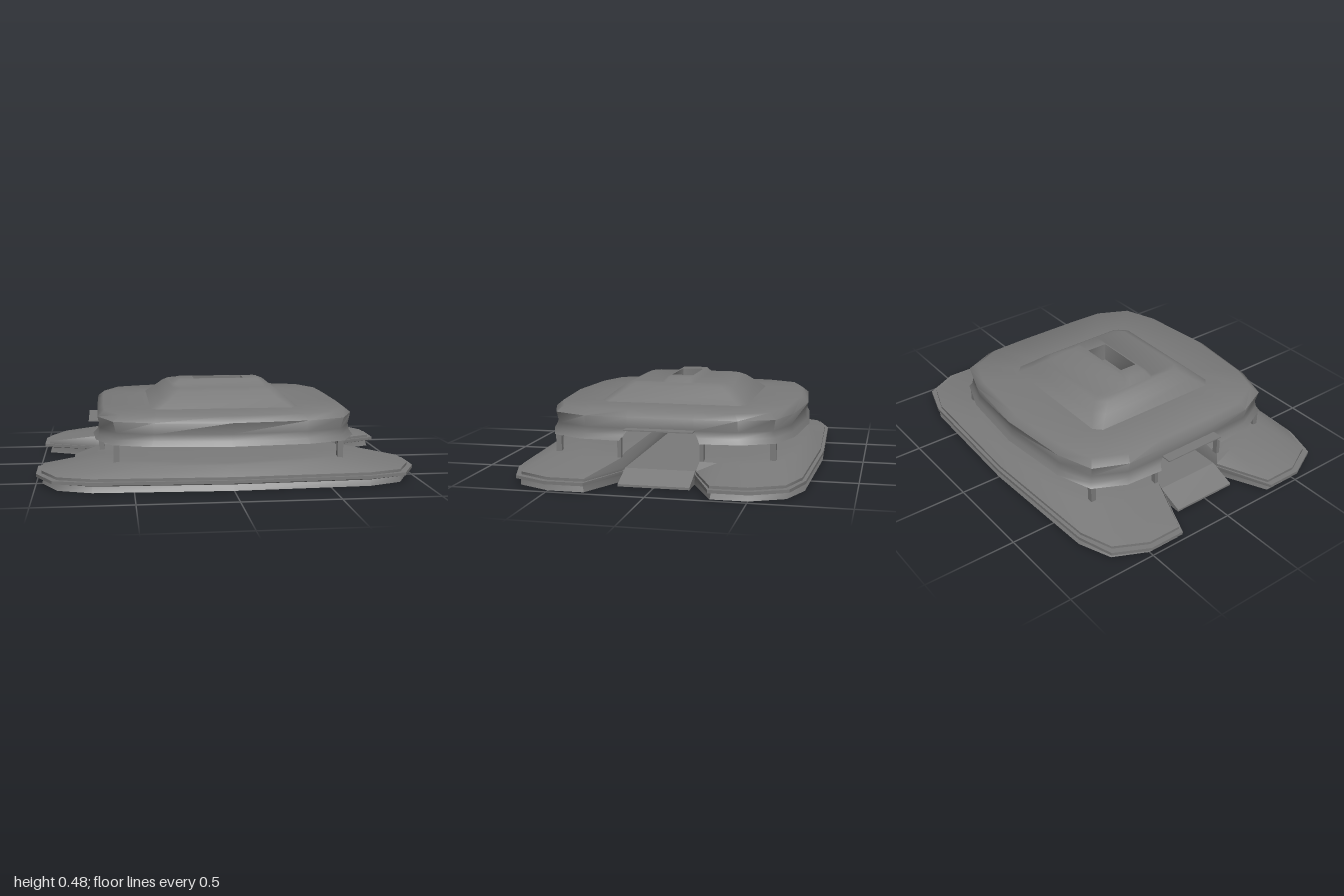
import * as THREE from 'three';
import { toCreasedNormals } from 'three/addons/utils/BufferGeometryUtils.js';

const darkGrey = new THREE.MeshStandardMaterial({ color: 0x7a7a7a, side: THREE.DoubleSide });

// Mirror a quarter outline (from +z round to +x) into a full ring at height y
function fullRing(y, q) {
  const rev = [...q].reverse();
  const second = q[0][0] === 0 ? q.slice(1) : q;
  return [
    ...q.map(([x, z]) => [x, y, z]),
    ...rev.map(([x, z]) => [x, y, -z]),
    ...second.map(([x, z]) => [-x, y, -z]),
    ...[...second].reverse().map(([x, z]) => [-x, y, z]),
  ];
}

// Mirror a half outline across x only
function halfRing(y, h) {
  return [...h.map(([x, z]) => [x, y, z]), ...h.slice(1).reverse().map(([x, z]) => [-x, y, z])];
}

// Rectangle with cut corners
const rectRing = (y, x, z, c) => fullRing(y, [[x - c, z], [x, z - c]]);

// Skin a stack of rings with optional caps; isOpen(level, segment) leaves gaps
function loft(rings, { bottom = false, top = false, isOpen = () => false, crease = 0.8 } = {}) {
  const pos = [];
  const tri = (a, b, c) => pos.push(...a, ...b, ...c);
  const n = rings[0].length;
  for (let r = 0; r < rings.length - 1; r++) {
    const a = rings[r], b = rings[r + 1];
    for (let i = 0; i < n; i++) {
      if (isOpen(r, i)) continue;
      const j = (i + 1) % n;
      tri(a[i], a[j], b[j]);
      tri(a[i], b[j], b[i]);
    }
  }
  const first = rings[0], last = rings[rings.length - 1];
  for (let i = 1; i < n - 1; i++) {
    if (bottom) tri(first[0], first[i + 1], first[i]);
    if (top) tri(last[0], last[i], last[i + 1]);
  }
  const g = new THREE.BufferGeometry();
  g.setAttribute('position', new THREE.Float32BufferAttribute(pos, 3));
  return toCreasedNormals(g, crease);
}

export function createModel() {
  const model = new THREE.Group();
  const add = (name, geo, x = 0, y = 0, z = 0) => {
    const m = new THREE.Mesh(geo, darkGrey);
    m.name = name;
    m.position.set(x, y, z);
    model.add(m);
    return m;
  };

  // Base: front and back pads with a projecting rim and sloping top
  const foot = [[0, 0.775], [0.71, 0.745], [0.885, 0.675], [0.97, 0.5], [0.97, 0.315], [0.7, 0.185]];
  const neck = [[0, 0.76], [0.71, 0.73], [0.875, 0.665], [0.96, 0.5], [0.96, 0.32], [0.7, 0.187]];
  const rim = [[0, 0.78], [0.72, 0.75], [0.91, 0.69], [1, 0.51], [1, 0.31], [0.7, 0.185]];
  const shelf = [[0, 0.763], [0.71, 0.732], [0.885, 0.67], [0.972, 0.5], [0.972, 0.313], [0.7, 0.192]];
  const brow = [[0, 0.705], [0.42, 0.67], [0.61, 0.6], [0.68, 0.42], [0.69, 0.3], [0.68, 0.207]];
  const deck = [[0, 0.68], [0.4, 0.645], [0.57, 0.575], [0.59, 0.42], [0.59, 0.3], [0.59, 0.212]];
  const padGeo = loft([
    halfRing(0, foot), halfRing(0.03, neck), halfRing(0.038, rim), halfRing(0.054, rim),
    halfRing(0.054, shelf), halfRing(0.068, shelf), halfRing(0.115, brow), halfRing(0.125, deck),
  ], { bottom: true, top: true });
  add('frontBasePad', padGeo);
  add('backBasePad', padGeo).rotation.y = Math.PI;

  // Walkway between the pads with a ramp at each side
  const walk = new THREE.Shape([
    [-0.82, 0], [0.82, 0], [0.82, 0.012], [0.68, 0.065], [-0.68, 0.065], [-0.82, 0.012],
  ].map(([x, y]) => new THREE.Vector2(x, y)));
  add('walkway', new THREE.ExtrudeGeometry(walk, { depth: 0.37, bevelEnabled: false }), 0, 0, -0.185);

  // Roof: hollow flared skirt, slight waist, rounded shoulder, flat crown
  const lip = [[0, 0.697], [0.41, 0.66], [0.605, 0.59], [0.69, 0.42], [0.705, 0.21]];
  const waistLow = [[0, 0.683], [0.4, 0.647], [0.59, 0.577], [0.673, 0.4], [0.68, 0.195]];
  const waist = [[0, 0.67], [0.395, 0.637], [0.585, 0.57], [0.667, 0.4], [0.672, 0.175]];
  const shoulder = [[0, 0.69], [0.4, 0.65], [0.6, 0.58], [0.68, 0.4], [0.682, 0.175]];
  const crown = [[0, 0.648], [0.38, 0.615], [0.56, 0.55], [0.643, 0.38], [0.65, 0.175]];
  const inset = (q) => q.map(([x, z], i) => [x * 0.93, i === q.length - 1 ? z : z * 0.93]);
  const centre = crown.map(([x, z]) => [x * 0.6, z * 0.6]);
  add('roof', loft([
    fullRing(0.27, inset(waist)), fullRing(0.21, inset(lip)), fullRing(0.21, lip),
    fullRing(0.235, waistLow), fullRing(0.27, waist), fullRing(0.33, shoulder),
    fullRing(0.36, crown), fullRing(0.36, centre),
  ], {
    bottom: true, top: true, crease: 1.2,
    // The skirt is open at the middle of each side
    isOpen: (level, segment) => level < 4 && (segment === 4 || segment === 13),
  }));

  // Raised roof centre with a ridge and a sunken hatch
  add('roofDome', loft([
    rectRing(0.358, 0.4, 0.4, 0.04), rectRing(0.405, 0.34, 0.345, 0.05),
    rectRing(0.44, 0.3, 0.3, 0.05), rectRing(0.455, 0.27, 0.265, 0.04),
    rectRing(0.456, 0.265, 0.09, 0.02), rectRing(0.482, 0.23, 0.07, 0.015),
    rectRing(0.482, 0.14, 0.06, 0.002), rectRing(0.38, 0.14, 0.06, 0.002),
  ], { top: true, crease: 1.2 }));

  for (const sx of [1, -1]) {
    const side = sx > 0 ? 'left' : 'right';
    // Thin awning above each side opening
    add(side + 'Awning', new THREE.BoxGeometry(0.13, 0.006, 0.36), sx * 0.665, 0.27, 0);
    // Posts at the corners and beside the openings
    for (const sz of [1, -1]) {
      add(side + 'CornerPost', new THREE.BoxGeometry(0.03, 0.115, 0.03), sx * 0.585, 0.156, sz * 0.57);
      add(side + 'DoorPost', new THREE.BoxGeometry(0.03, 0.12, 0.02), sx * 0.66, 0.158, sz * 0.217);
    }
  }
  return model;
}
